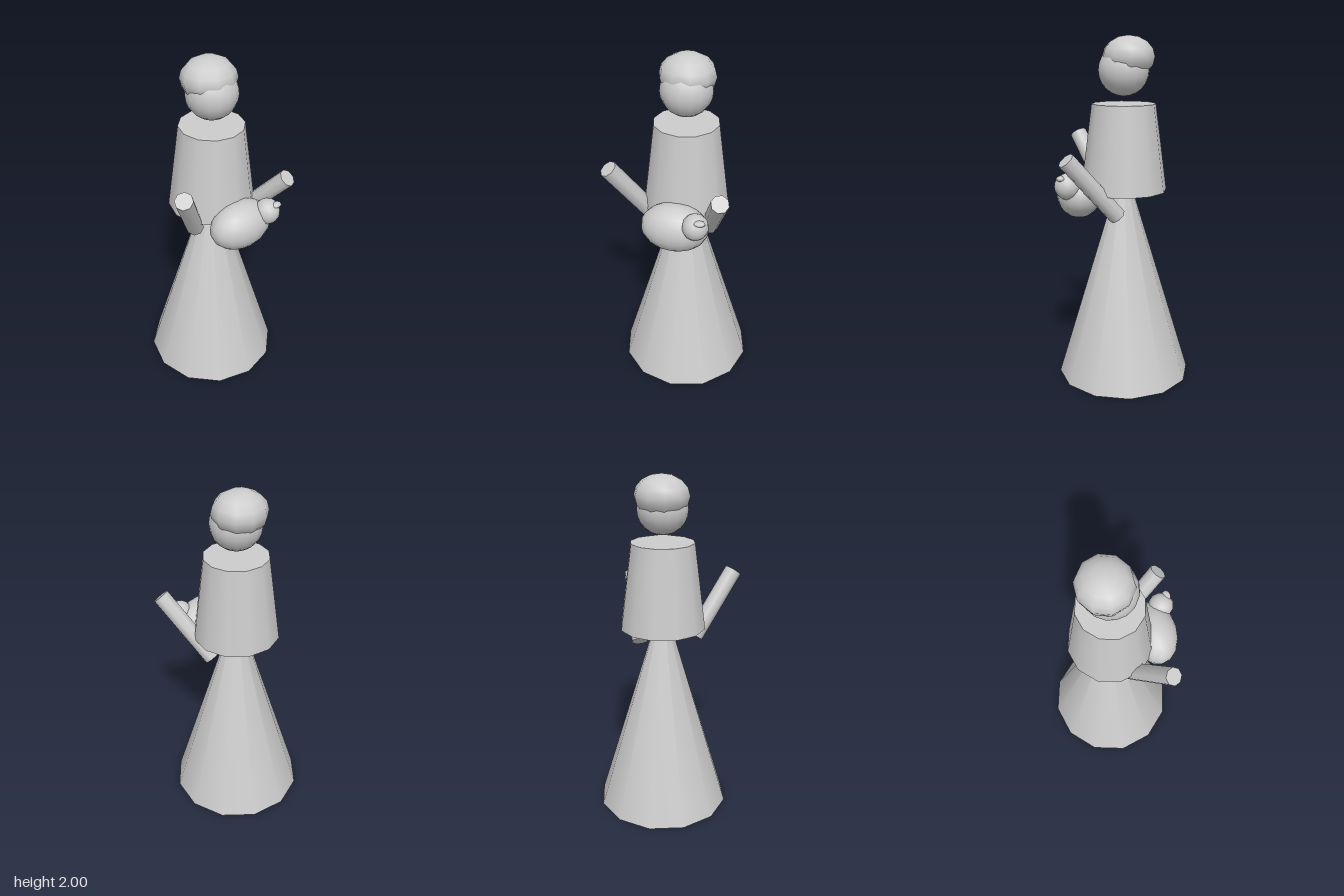
import * as THREE from 'three';

const material = new THREE.MeshStandardMaterial({ color: 0xcccccc });

export function createModel() {
  const model = new THREE.Group();
  model.name = 'figureHoldingBaby';

  const add = (name, geometry, x, y, z) => {
    const mesh = new THREE.Mesh(geometry, material);
    mesh.name = name;
    mesh.position.set(x, y, z);
    model.add(mesh);
    return mesh;
  };

  // Sphere stretched to three radii
  const ellipsoid = (name, radii, centre, across, down) =>
    add(name, new THREE.SphereGeometry(1, across, down).scale(...radii), ...centre);

  // Closed cylinder running from one end point to the other
  const limb = (name, from, to, radius) => {
    const a = new THREE.Vector3(...from);
    const b = new THREE.Vector3(...to);
    const axis = b.clone().sub(a);
    const centre = a.clone().add(b).multiplyScalar(0.5);
    const mesh = add(name, new THREE.CylinderGeometry(radius, radius, axis.length(), 8), centre.x, centre.y, centre.z);
    mesh.quaternion.setFromUnitVectors(new THREE.Vector3(0, 1, 0), axis.normalize());
  };

  const cx = 0.01, cz = -0.005;

  // Body
  add('skirt', new THREE.ConeGeometry(0.391, 1.3, 12), cx, 0.65, cz);
  add('torso', new THREE.CylinderGeometry(0.183, 0.248, 0.495, 12), cx, 1.378, cz);

  // Head and hair
  ellipsoid('head', [0.144, 0.144, 0.144], [cx, 1.81, cz], 16, 12);
  ellipsoid('hair', [0.156, 0.117, 0.15], [cx, 1.883, -0.03], 10, 8);

  // Arms
  limb('rightArm', [-0.165, 1.06, 0.07], [-0.36, 1.42, 0.245], 0.05);
  limb('leftArm', [0.16, 1.008, 0.045], [0.273, 1.35, 0.33], 0.05);

  // Baby carried in front
  ellipsoid('babyBody', [0.19, 0.138, 0.13], [cx, 1.114, 0.255], 16, 12);
  ellipsoid('babyHead', [0.073, 0.074, 0.073], [0.142, 1.181, 0.323], 12, 10);
  ellipsoid('babyHair', [0.034, 0.015, 0.025], [0.172, 1.231, 0.36], 8, 6);

  return model;
}
